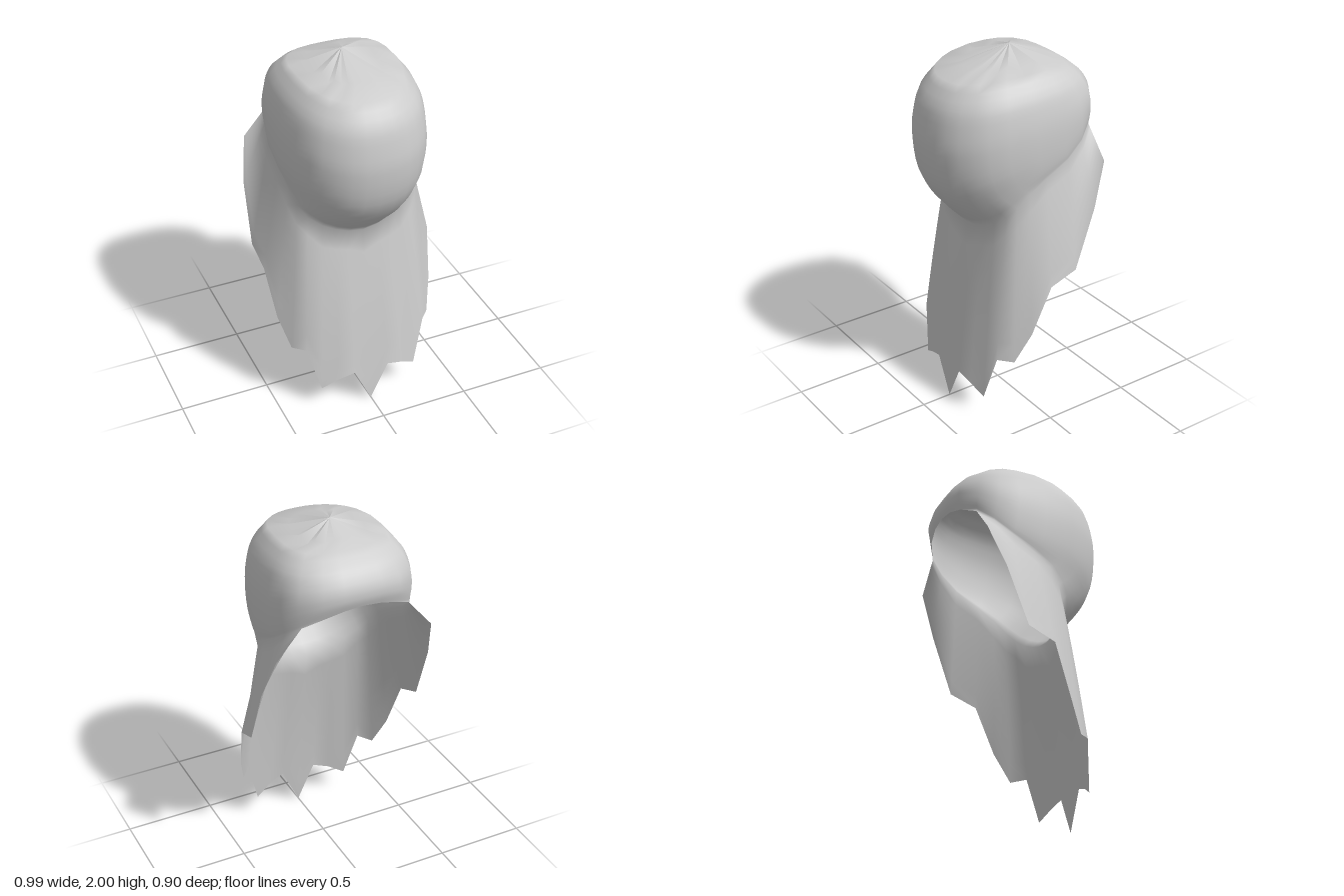
import * as THREE from 'three';

const V = (x, y, z) => new THREE.Vector3(x, y, z);

// Right half of the neck rim, from the front centre round to the back centre
const rim = [
  [0, 1.06, 0.2], [0.08, 1.07, 0.195], [0.15, 1.095, 0.188], [0.22, 1.13, 0.175],
  [0.29, 1.185, 0.15], [0.33, 1.245, 0.11], [0.355, 1.32, 0.045], [0.365, 1.385, -0.05],
  [0.37, 1.46, -0.18], [0.35, 1.53, -0.28], [0.3, 1.59, -0.36],
  [0.2, 1.64, -0.41], [0.1, 1.67, -0.43], [0, 1.68, -0.435],
].map((p) => V(...p));

// Right half of the ragged hem, from the front centre to the back corner
const hem = [
  [0, 0, 0.33], [0.1, 0.21, 0.33], [0.19, 0.18, 0.315], [0.28, 0.13, 0.29],
  [0.35, 0.39, 0.25], [0.41, 0.38, 0.18], [0.457, 0.55, 0.1], [0.487, 0.82, 0],
  [0.495, 0.88, -0.15], [0.485, 1.2, -0.27], [0.44, 1.43, -0.36],
].map((p) => V(...p));

// Dome rings: front z, front y, side x, side y, side z, back z, back y
const rings = [
  [0.33, 1.89, 0.27, 1.93, -0.04, -0.3, 1.925],
  [0.41, 1.78, 0.345, 1.83, -0.03, -0.39, 1.86],
  [0.44, 1.66, 0.375, 1.73, -0.03, -0.43, 1.805],
  [0.45, 1.54, 0.387, 1.63, -0.03, -0.445, 1.765],
  [0.42, 1.35, 0.387, 1.52, -0.04, -0.447, 1.73],
  [0.34, 1.21, 0.38, 1.44, -0.06, -0.443, 1.705],
];

const mirrorX = (p) => V(-p.x, p.y, p.z);

// Point of a rounded-square ring on the column that ends at rim point p
function ringPoint([fz, fy, sx, sy, sz, bz, by], p) {
  const dz = p.z + 0.08;
  const front = dz >= 0;
  const n = front ? 2.3 : 3.1;
  const s = Math.pow(Math.abs(p.x) / 0.372, n / 2);
  const c = Math.pow(Math.abs(dz) / (front ? 0.28 : 0.355), n / 2);
  const len = Math.hypot(s, c);
  const side = Math.pow(s / len, 2 / n);
  const along = Math.pow(c / len, 2 / n);
  return V(
    Math.sign(p.x) * sx * side,
    sy + ((front ? fy : by) - sy) * Math.pow(along, front ? 1.5 : 1.3),
    sz + ((front ? fz : bz) - sz) * along,
  );
}

// Smooth skin over columns of points that run from top to bottom
function skin(columns, closed) {
  const rows = columns[0].length;
  const index = [];
  const count = columns.length;
  for (let i = 0; i < (closed ? count : count - 1); i++) {
    for (let j = 0; j < rows - 1; j++) {
      const a = i * rows + j;
      const b = ((i + 1) % count) * rows + j;
      index.push(a, a + 1, b, b, a + 1, b + 1);
    }
  }
  const geometry = new THREE.BufferGeometry().setFromPoints(columns.flat());
  geometry.setIndex(index);
  geometry.computeVertexNormals();
  return geometry;
}

// Share one averaged normal between a vertex of each geometry
function blendNormals(geometryA, a, geometryB, b) {
  const na = geometryA.attributes.normal;
  const nb = geometryB.attributes.normal;
  const n = V(0, 0, 0).fromBufferAttribute(na, a).add(V(0, 0, 0).fromBufferAttribute(nb, b)).normalize();
  na.setXYZ(a, n.x, n.y, n.z);
  nb.setXYZ(b, n.x, n.y, n.z);
}

export function createModel() {
  const group = new THREE.Group();
  group.name = 'drapedHood';
  const grey = new THREE.MeshStandardMaterial({ color: 0xcccccc, side: THREE.DoubleSide });
  grey.name = 'light grey';

  // Rounded crown: cone with pleats at its sides, then a curve down to the rim
  const loop = [...rim, ...rim.slice(1, -1).reverse().map(mirrorX)];
  const pole = V(0, 2, -0.07);
  const domeColumns = loop.map((p, i) => {
    const first = ringPoint(rings[0], p);
    const pleat = pole.clone().lerp(first, 0.65);
    if (i % 2) pleat.y -= 0.04 * (first.x / 0.27) ** 2;
    const curve = new THREE.CatmullRomCurve3([...rings.map((r) => ringPoint(r, p)), p]);
    return [pole, pleat, ...curve.getPoints(18)];
  });
  const domeGeometry = skin(domeColumns, true);

  // Hanging cloth, open at the back, falling almost straight from the rim
  const half = hem.map((h, i) => {
    const column = [];
    for (let j = 0; j <= 8; j++) {
      const p = rim[i].clone().lerp(h, j / 8);
      p.z += 0.008 * Math.sin((Math.PI * j) / 8) * (1 - i / 10);
      column.push(p);
    }
    return column;
  });
  const otherHalf = half.slice(1).reverse().map((column) => column.map(mirrorX));
  const clothColumns = [...otherHalf, ...half];
  const clothGeometry = skin(clothColumns, false);

  // Soft transition where the cloth leaves the crown
  const middle = hem.length - 1;
  for (let k = 0; k < clothColumns.length; k++) {
    const column = (k - middle + loop.length) % loop.length;
    const rows = domeColumns[0].length;
    blendNormals(domeGeometry, column * rows + rows - 1, clothGeometry, k * 9);
  }

  const dome = new THREE.Mesh(domeGeometry, grey);
  dome.name = 'crown';
  const cloth = new THREE.Mesh(clothGeometry, grey);
  cloth.name = 'hangingCloth';
  group.add(dome, cloth);

  return group;
}
